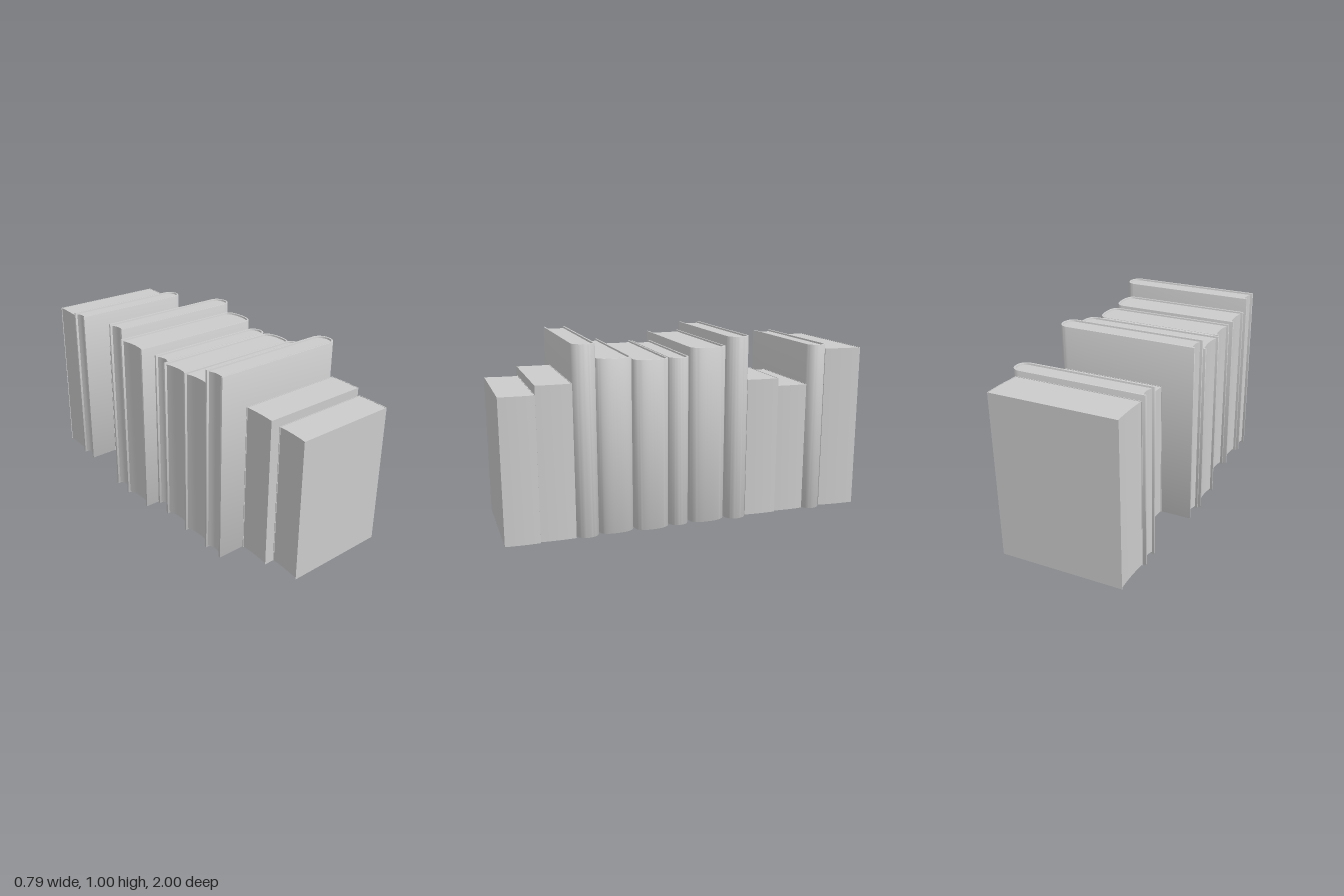
import * as THREE from 'three';
import { toCreasedNormals } from 'three/addons/utils/BufferGeometryUtils.js';

const material = new THREE.MeshStandardMaterial({ color: 0xcccccc });

// Hardcovers: z range, height, fore edge x, outermost spine x
const hardcovers = [
  [0.51, 0.633, 1.005, -0.385, 0.392],
  [0.32, 0.508, 0.925, -0.37, 0.378],
  [0.127, 0.315, 0.91, -0.35, 0.39],
  [0.012, 0.124, 0.91, -0.322, 0.381],
  [-0.195, 0.004, 0.955, -0.398, 0.38],
  [-0.322, -0.199, 1.005, -0.385, 0.392],
  [-0.788, -0.677, 0.94, -0.335, 0.385],
];

// Paperbacks: z range, height, fore edge x (back, front), spine x (back, front)
const paperbacks = [
  [0.82, 1.0, 0.765, -0.19, -0.208, 0.375, 0.366],
  [0.635, 0.818, 0.81, -0.232, -0.242, 0.37, 0.363],
  [-0.502, -0.324, 0.765, -0.206, -0.216, 0.36, 0.35],
  [-0.676, -0.504, 0.72, -0.172, -0.164, 0.355, 0.348],
  [-1.0, -0.791, 0.91, -0.307, -0.32, 0.366, 0.347],
];

// Extrudes an outline of [x, z] points from y0 up to y1
function upright(name, points, y0, y1, bevel = 0) {
  const shape = new THREE.Shape(points.map(([x, z]) => new THREE.Vector2(x, -z)));
  const geometry = new THREE.ExtrudeGeometry(shape, {
    depth: y1 - y0 - 2 * bevel,
    bevelEnabled: bevel > 0,
    bevelThickness: bevel,
    bevelSize: bevel,
    bevelOffset: -bevel,
    bevelSegments: 2,
  });
  geometry.rotateX(-Math.PI / 2).translate(0, y0 + bevel, 0);
  const mesh = new THREE.Mesh(toCreasedNormals(geometry, 0.6), material);
  mesh.name = name;
  return mesh;
}

// Shallow curve between two [x, z] points, pushed along x in the middle
function bow(a, b, push, steps = 8) {
  return Array.from({ length: steps + 1 }, (_, i) => {
    const t = i / steps;
    return [a[0] + (b[0] - a[0]) * t + push * 4 * t * (1 - t), a[1] + (b[1] - a[1]) * t];
  });
}

// Rounded spine from the back board to the front board, inset by t
function roundSpine(z0, z1, tip, t) {
  const half = (z1 - z0) / 2 - t, depth = 0.056 - t;
  const power = z1 - z0 > 0.15 ? 0.8 : 0.95;
  return Array.from({ length: 25 }, (_, i) => {
    const a = (i / 24 - 0.5) * Math.PI;
    return [
      tip - 0.056 + depth * Math.pow(Math.max(0, Math.cos(a)), power),
      (z0 + z1) / 2 + half * Math.sign(a) * Math.pow(Math.abs(Math.sin(a)), power),
    ];
  });
}

function hardcover([z0, z1, height, fore, tip]) {
  const book = new THREE.Group();
  book.name = 'hardcoverBook';
  const t = 0.011;
  const inner = roundSpine(z0, z1, tip, t);
  // Boards and spine as one wrapped cover
  book.add(upright('cover', [
    [fore, z0], ...roundSpine(z0, z1, tip, 0), [fore, z1],
    [fore, z1 - t], ...inner.slice().reverse(), [fore, z0 + t],
  ], 0, height, 0.003));
  // Page block, with a hollow fore edge
  book.add(upright('pages', [
    ...inner, ...bow([fore + 0.013, z1 - t], [fore + 0.013, z0 + t], 0.012),
  ], 0.01, height - 0.01));
  return book;
}

function paperback([z0, z1, height, foreBack, foreFront, spineBack, spineFront]) {
  const book = new THREE.Group();
  book.name = 'paperbackBook';
  const t = 0.003;
  const outer = bow([spineBack, z0], [spineFront, z1], 0.004);
  const inner = bow([spineBack - t, z0 + t], [spineFront - t, z1 - t], 0.004);
  // Thin wrapped cover
  book.add(upright('cover', [
    [foreBack, z0], ...outer, [foreFront, z1],
    [foreFront, z1 - t], ...inner.slice().reverse(), [foreBack, z0 + t],
  ], 0, height));
  // Slightly slanted page block
  book.add(upright('pages', [
    ...inner, ...bow([foreFront + 0.004, z1 - t], [foreBack + 0.004, z0 + t], 0.004),
  ], 0.002, height - 0.002));
  return book;
}

export function createModel() {
  const row = new THREE.Group();
  row.name = 'bookRow';
  hardcovers.forEach((b) => row.add(hardcover(b)));
  paperbacks.forEach((b) => row.add(paperback(b)));
  return row;
}
